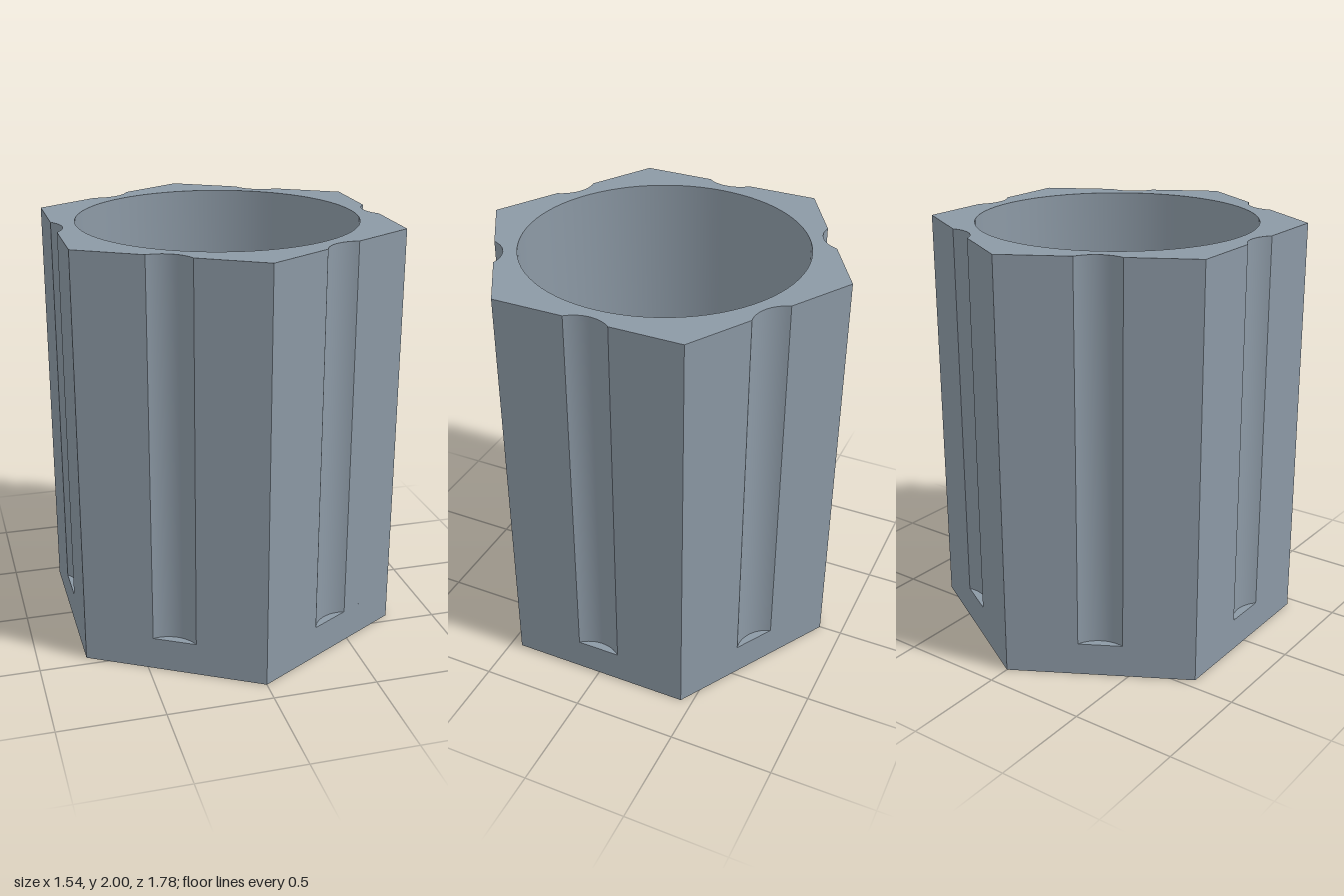
import * as THREE from 'three';
import { toCreasedNormals } from 'three/addons/utils/BufferGeometryUtils.js';

const HEIGHT = 2, FLOOR = 0.16;
const RADIUS = 0.889, APOTHEM = RADIUS * Math.cos(Math.PI / 6);
const BORE = 0.667;
const GROOVE_HALF = 0.105, GROOVE_DEPTH = 0.04;

// Hexagon with a corner on +z; optionally a shallow round groove down each side
function hexOutline(grooved) {
  const r = (GROOVE_HALF ** 2 + GROOVE_DEPTH ** 2) / (2 * GROOVE_DEPTH);
  const half = Math.asin(GROOVE_HALF / r);
  const steps = 16, points = [];
  for (let side = 0; side < 6; side++) {
    const a = side * Math.PI / 3;
    if (grooved) {
      for (let i = 0; i <= steps; i++) {
        const t = half * (2 * i / steps - 1);
        const p = new THREE.Vector2(APOTHEM - GROOVE_DEPTH + r * (1 - Math.cos(t)), r * Math.sin(t));
        points.push(p.rotateAround(new THREE.Vector2(), a));
      }
    }
    const c = a + Math.PI / 6;
    points.push(new THREE.Vector2(RADIUS * Math.cos(c), RADIUS * Math.sin(c)));
  }
  return new THREE.Shape(points);
}

// Extrude upward from y0 to y1
function extrudeUp(shape, y0, y1) {
  const geometry = new THREE.ExtrudeGeometry(shape, { depth: y1 - y0, bevelEnabled: false, curveSegments: 40 });
  geometry.rotateX(-Math.PI / 2).translate(0, y0, 0);
  return toCreasedNormals(geometry, 0.5);
}

export function createModel() {
  const group = new THREE.Group();
  group.name = 'hexagonalCup';
  const grey = new THREE.MeshStandardMaterial({ color: 0x8c99a5 });
  grey.name = 'blueGrey';

  // Solid base: its top is the floor of the bore and the ends of the grooves
  const base = new THREE.Mesh(extrudeUp(hexOutline(false), 0, FLOOR), grey);
  base.name = 'base';

  // Grooved wall around the round bore
  const wallShape = hexOutline(true);
  wallShape.holes.push(new THREE.Path().absarc(0, 0, BORE, 0, Math.PI * 2, true));
  const wall = new THREE.Mesh(extrudeUp(wallShape, FLOOR, HEIGHT), grey);
  wall.name = 'groovedWall';

  group.add(base, wall);
  return group;
}
